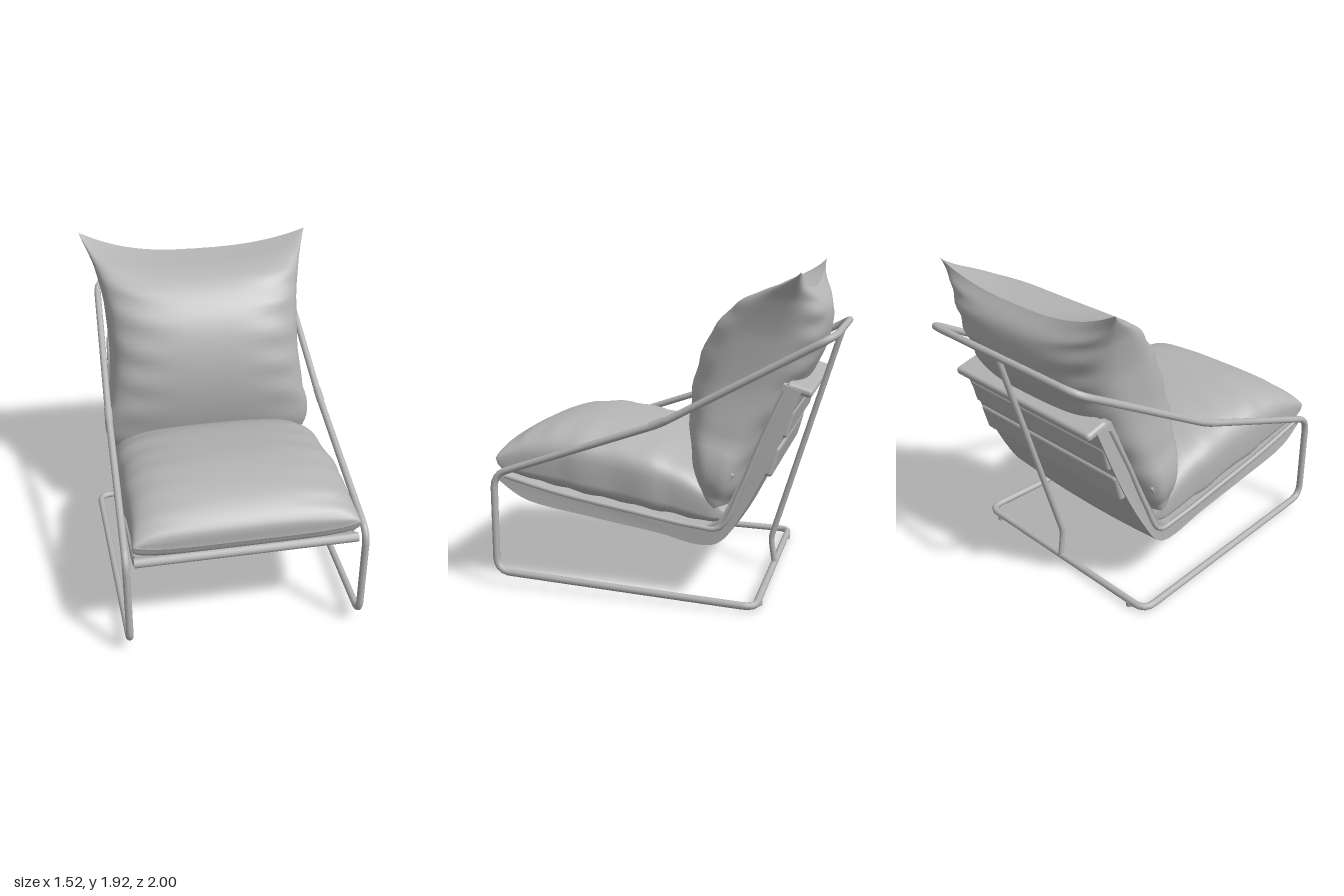
import * as THREE from 'three';
import { toCreasedNormals } from 'three/addons/utils/BufferGeometryUtils.js';
import { RoundedBoxGeometry } from 'three/addons/geometries/RoundedBoxGeometry.js';

const V = (x, y, z) => new THREE.Vector3(x, y, z);

// Polyline with rounded corners; each point is [x, y, z, cornerRadius]
function roundedPath(pts, closed) {
  const path = new THREE.CurvePath();
  const n = pts.length;
  const p = pts.map((q) => V(q[0], q[1], q[2]));
  const toward = (a, b, r) => a.clone().add(b.clone().sub(a).setLength(r));
  let first = null, last = null;
  for (let i = 0; i < n; i++) {
    const r = pts[i][3] || 0;
    const a = r ? toward(p[i], p[(i + n - 1) % n], r) : p[i];
    const b = r ? toward(p[i], p[(i + 1) % n], r) : p[i];
    if (last) path.add(new THREE.LineCurve3(last, a));
    else first = a;
    if (r) path.add(new THREE.QuadraticBezierCurve3(a, p[i], b));
    last = b;
  }
  if (closed) path.add(new THREE.LineCurve3(last, first));
  return path;
}

// Cushion lofted through stations [halfWidth, faceZ, faceY, backZ, backY];
// seam places the side edge between face (0) and back (1), backPower flattens the back
function cushionGeometry(stations, { horn, wrinkle, seam, backPower }) {
  const rows = 64, cols = 80, pos = [], idx = [];
  const widths = new THREE.CatmullRomCurve3(stations.map((s) => V(s[0], 0, 0)));
  const faces = new THREE.CatmullRomCurve3(stations.map((s) => V(0, s[2], s[1])));
  const backs = new THREE.CatmullRomCurve3(stations.map((s) => V(0, s[4], s[3])));
  const last = stations.length - 1;
  const power = (c, e) => Math.sign(c) * Math.abs(c) ** e;
  for (let j = 0; j <= rows; j++) {
    const t = 0.5 - 0.5 * Math.cos((j / rows) * Math.PI);
    const w = widths.getPoint(t).x, f = faces.getPoint(t), b = backs.getPoint(t);
    const m = f.clone().lerp(b, seam);
    for (let i = 0; i < cols; i++) {
      const a = (i / cols) * Math.PI * 2;
      const u = power(Math.cos(a), 0.65);
      const s = power(Math.sin(a), Math.sin(a) > 0 ? 0.65 : backPower);
      // Creases fan in from the side seams
      const crease = 1 + wrinkle * Math.sin(t * last * 9 + 3 * u) * u ** 4 * (1 - u * u) * 4;
      const q = m.clone().lerp(s > 0 ? f : b, Math.abs(s) * crease);
      q.x = u * w;
      q.y += horn(u, t);
      pos.push(q.x, q.y, q.z);
      if (j < rows) {
        const k = j * cols + i, l = j * cols + ((i + 1) % cols);
        idx.push(k, k + cols, l, l, k + cols, l + cols);
      }
    }
  }
  const g = new THREE.BufferGeometry();
  g.setAttribute('position', new THREE.Float32BufferAttribute(pos, 3));
  g.setIndex(idx);
  g.computeVertexNormals();
  return g;
}

// Half width of the sling, narrowing toward the top of the back
const slingHalf = (y) => 0.635 - 0.05 * Math.max(0, y - 0.5);

// Fabric sling: closed side profile swept across the chair, sagging in the middle
function slingGeometry() {
  const sample = (pts) => new THREE.SplineCurve(pts.map(([z, y]) => new THREE.Vector2(-z, y))).getPoints(40);
  const under = sample([[0.97, 0.63], [0.78, 0.52], [0.4, 0.45], [0, 0.385], [-0.22, 0.335],
    [-0.36, 0.355], [-0.48, 0.51], [-0.64, 0.82], [-0.8, 1.22]]);
  const inner = sample([[-0.7, 1.26], [-0.57, 0.94], [-0.44, 0.64], [-0.34, 0.47],
    [-0.2, 0.45], [0.2, 0.5], [0.6, 0.57], [0.97, 0.68]]);
  const g = new THREE.ExtrudeGeometry(new THREE.Shape([...under, ...inner]),
    { depth: 2, steps: 16, bevelEnabled: false });
  g.translate(0, 0, -1);
  g.rotateY(Math.PI / 2);
  const p = g.attributes.position;
  for (let i = 0; i < p.count; i++) {
    const u = p.getX(i), y = p.getY(i);
    p.setX(i, u * slingHalf(y));
    if (y < 0.6) p.setY(i, y - 0.03 * (1 - u * u) * Math.min(1, (0.6 - y) / 0.12));
  }
  return toCreasedNormals(g, 0.6);
}

export function createModel() {
  const model = new THREE.Group();
  const grey = new THREE.MeshStandardMaterial({ color: 0xb4b4b4 });
  grey.name = 'plainGrey';
  const add = (name, geometry, x = 0, y = 0, z = 0) => {
    const mesh = new THREE.Mesh(geometry, grey);
    mesh.name = name;
    mesh.position.set(x, y, z);
    model.add(mesh);
    return mesh;
  };
  const tube = (name, pts, r, segments, closed = false) =>
    add(name, new THREE.TubeGeometry(roundedPath(pts, closed), segments, r, 12, closed));

  // Continuous bent-tube frame
  const side = [[0.74, 0.03, -0.585, 0.08], [0.682, 0.09, 0.978, 0.09], [0.68, 0.68, 0.978, 0.08],
    [0.668, 1.02, -0.02, 0.05], [0.64, 1.53, -0.978, 0.12]];
  const mirrored = side.map(([x, y, z, r]) => [-x, y, z, r]).reverse();
  tube('frame', [...side, ...mirrored], 0.021, 360, true);
  tube('frontBar', [[-0.635, 0.655, 0.965], [0.635, 0.655, 0.965]], 0.028, 4);
  tube('centrePost', [[0, 1.52, -0.97], [0, 0.2, -0.565, 0.04], [0, 0.03, -0.59]], 0.018, 60);
  tube('underSupport', [[0, 0.39, 0], [0, 0.27, -0.28, 0.1], [0, 0.48, -0.4]], 0.018, 40);

  // Fabric sling, the hem under its front and the flaps on its back
  add('sling', slingGeometry());
  const hem = new THREE.QuadraticBezierCurve3(V(-0.62, 0.52, 0.78), V(0, 0.47, 0.78), V(0.62, 0.52, 0.78));
  add('frontHem', new THREE.TubeGeometry(hem, 24, 0.012, 8));
  for (const [y, z, h, d, tilt] of [[1.225, -0.785, 0.05, 0.15, -0.28],
    [1.04, -0.715, 0.16, 0.06, -0.25], [0.83, -0.64, 0.18, 0.06, -0.28]]) {
    const flap = new RoundedBoxGeometry(2 * slingHalf(y) - 0.02, h, d, 3, 0.022);
    add('backFlap', flap, 0, y, z).rotation.x = tilt;
  }

  // Side details: sleeve on the rail, edge piping, buckle tab, foot
  for (const s of [-1, 1]) {
    tube('railSleeve', [[s * 0.669, 1.005, 0.03], [s * 0.667, 1.045, -0.06]], 0.024, 4);
    const edge = [[0.66, 0.93], [0.58, 0.6], [0.5, 0.15], [0.44, -0.22], [0.44, -0.36],
      [0.65, -0.47], [0.95, -0.59], [1.22, -0.71]];
    const curve = new THREE.CatmullRomCurve3(edge.map(([y, z]) => V(s * slingHalf(y), y, z)));
    add('edgePiping', new THREE.TubeGeometry(curve, 80, 0.015, 8));
    add('buckleTab', new RoundedBoxGeometry(0.025, 0.1, 0.05, 2, 0.012), s * 0.635, 0.72, -0.4).rotation.x = -0.5;
    add('foot', new THREE.CylinderGeometry(0.025, 0.025, 0.03, 16), s * 0.62, 0.015, -0.585);
  }

  // Seat cushion, front to back
  add('seatCushion', cushionGeometry([
    [0.635, 0.985, 0.735, 0.985, 0.735], [0.64, 0.975, 0.83, 0.955, 0.675], [0.635, 0.84, 0.93, 0.8, 0.615],
    [0.64, 0.58, 0.98, 0.55, 0.555], [0.64, 0.28, 0.95, 0.25, 0.5], [0.64, -0.04, 0.87, -0.05, 0.455],
    [0.63, -0.3, 0.7, -0.3, 0.43], [0.58, -0.42, 0.48, -0.42, 0.48],
  ], {
    horn: (u, t) => 0.04 * Math.abs(u) ** 6 * (1 - t) ** 8, wrinkle: 0.05, seam: 0.55, backPower: 0.35,
  }));

  // Back cushion, bottom to top, with pulled-out upper corners
  add('backCushion', cushionGeometry([
    [0.6, -0.31, 0.475, -0.31, 0.475], [0.64, -0.19, 0.68, -0.43, 0.57], [0.64, -0.12, 1.0, -0.58, 0.87],
    [0.61, -0.14, 1.28, -0.77, 1.2], [0.62, -0.25, 1.54, -0.885, 1.46], [0.665, -0.45, 1.71, -0.89, 1.65],
    [0.74, -0.8, 1.765, -0.8, 1.765],
  ], {
    horn: (u, t) => (u < 0 ? 0.155 : 0.095) * Math.abs(u) ** 2.6 * t ** 5, wrinkle: 0.06, seam: 0.5, backPower: 0.6,
  }));

  return model;
}
